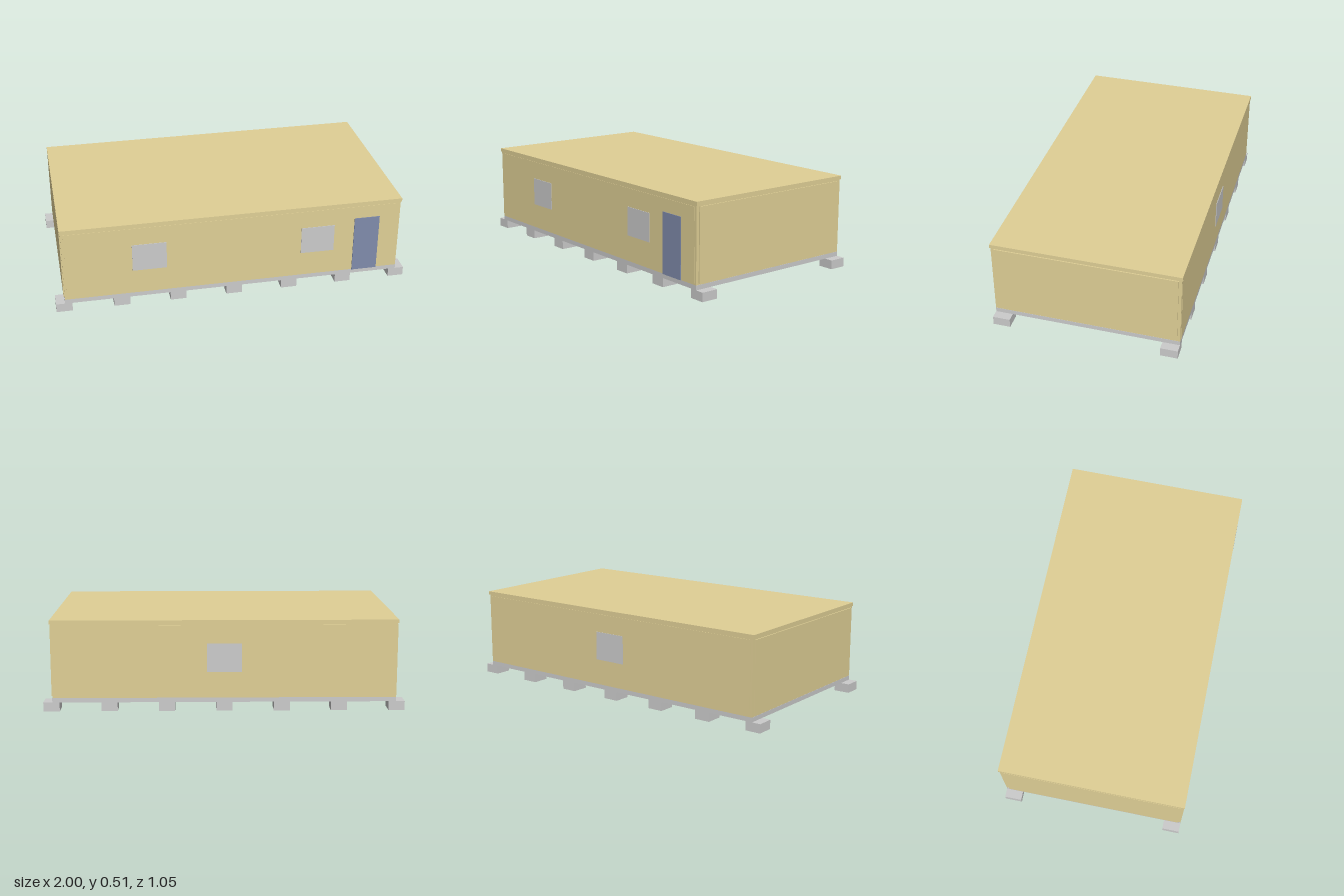
import * as THREE from 'three';

const grey = new THREE.MeshStandardMaterial({ color: 0xcccccc });
const tan = new THREE.MeshStandardMaterial({ color: 0xe0d096 });
const blue = new THREE.MeshStandardMaterial({ color: 0x808cac });

export function createModel() {
  const model = new THREE.Group();

  // box given by its lower and upper limits on each axis
  const box = (name, mat, x0, x1, y0, y1, z0, z1) => {
    const mesh = new THREE.Mesh(new THREE.BoxGeometry(x1 - x0, y1 - y0, z1 - z0), mat);
    mesh.position.set((x0 + x1) / 2, (y0 + y1) / 2, (z0 + z1) / 2);
    mesh.name = name;
    model.add(mesh);
  };

  // foundation pads: seven along each long side
  for (const x of [-0.955, -0.635, -0.318, 0, 0.318, 0.635, 0.955])
    for (const z of [-0.469, 0.469])
      box('foundationPad', grey, x - 0.045, x + 0.045, 0, 0.05, z - 0.048, z + 0.048);

  // floor frame: side rails, end rails and two joints between the modules
  for (const s of [-1, 1]) {
    box('sideRail', grey, -0.95, 0.95, 0.05, 0.075, s * 0.502 - 0.015, s * 0.502 + 0.015);
    box('endRail', grey, s * 0.935 - 0.015, s * 0.935 + 0.015, 0.05, 0.075, -0.487, 0.487);
    for (const d of [-0.016, 0.016])
      box('crossBeam', grey, s * 0.318 + d - 0.012, s * 0.318 + d + 0.012, 0.05, 0.075, -0.487, 0.487);
  }

  // outer walls with slightly raised panels
  for (const s of [-1, 1]) {
    box('longWall', tan, -0.949, 0.949, 0.075, 0.49, s * 0.506 - 0.011, s * 0.506 + 0.011);
    box('longWallPanel', tan, -0.935, 0.935, 0.082, 0.482, s * 0.517 - 0.002, s * 0.517 + 0.002);
    box('endWall', tan, s * 0.938 - 0.011, s * 0.938 + 0.011, 0.075, 0.49, -0.495, 0.495);
    box('endWallPanel', tan, s * 0.951 - 0.004, s * 0.951 + 0.004, 0.082, 0.482, -0.5, 0.5);
  }

  // roof and ceiling
  box('roof', tan, -0.955, 0.955, 0.49, 0.51, -0.521, 0.521);
  box('ceiling', grey, -0.927, 0.927, 0.48, 0.49, -0.495, 0.495);

  // windows and door
  for (const x of [-0.475, 0.475])
    box('frontWindow', grey, x - 0.095, x + 0.095, 0.22, 0.38, 0.494, 0.522);
  box('backWindow', grey, -0.095, 0.095, 0.22, 0.38, -0.522, -0.494);
  box('door', blue, 0.685, 0.83, 0.075, 0.41, 0.494, 0.523);

  // floor plates and built-in units standing on the open frame
  box('entryFloor', grey, 0.42, 0.92, 0.075, 0.085, -0.27, 0.494);
  box('entryFloorExtension', grey, 0.3, 0.42, 0.075, 0.085, -0.27, 0.3);
  box('storageUnit', grey, -0.3, -0.15, 0.075, 0.2, -0.35, 0.1);
  box('bench', grey, -0.63, -0.34, 0.075, 0.17, 0.12, 0.38);

  // inner partitions
  box('entryPartition', grey, 0.3, 0.927, 0.085, 0.48, -0.27, -0.255);
  box('middlePartition', grey, -0.15, 0.1, 0.075, 0.48, 0, 0.015);
  box('roomPartition', grey, -0.927, -0.37, 0.075, 0.48, 0.1, 0.115);
  box('roomLining', grey, -0.927, -0.918, 0.075, 0.48, -0.495, 0.1);

  return model;
}
